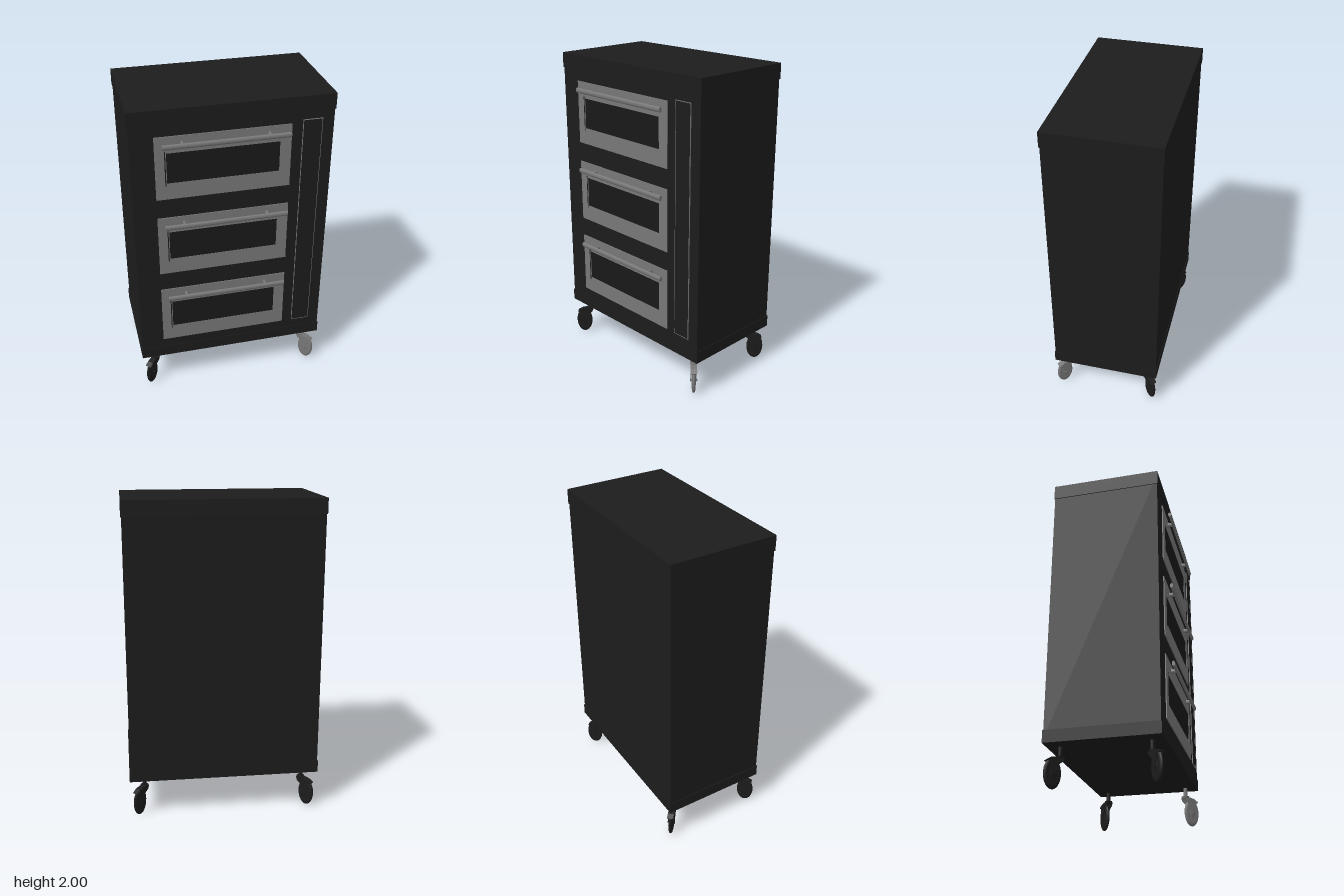
import * as THREE from 'three';

const mat = (color) => new THREE.MeshStandardMaterial({ color });
const black = mat(0x1c1c1c), glass = mat(0x191919), steel = mat(0x777777);

function add(parent, name, geometry, material, x = 0, y = 0, z = 0) {
  const mesh = new THREE.Mesh(geometry, material);
  mesh.name = name;
  mesh.position.set(x, y, z);
  parent.add(mesh);
  return mesh;
}

// Box given by its lower and upper corners
function box(parent, name, material, [x0, y0, z0], [x1, y1, z1]) {
  return add(parent, name, new THREE.BoxGeometry(x1 - x0, y1 - y0, z1 - z0), material,
    (x0 + x1) / 2, (y0 + y1) / 2, (z0 + z1) / 2);
}

function rect(Type, x0, y0, x1, y1) {
  return new Type().moveTo(x0, y0).lineTo(x1, y0).lineTo(x1, y1).lineTo(x0, y1).closePath();
}

// Flat rectangular plate with a rectangular opening
function frameGeometry(outer, inner, depth) {
  const shape = rect(THREE.Shape, ...outer);
  shape.holes.push(rect(THREE.Path, ...inner));
  return new THREE.ExtrudeGeometry(shape, { depth, bevelEnabled: false });
}

// Oven door, built around its own bottom edge
function createDoor(y) {
  const door = new THREE.Group();
  door.name = 'ovenDoor';
  door.position.y = y;
  add(door, 'doorFrame', frameGeometry([-0.46, 0, 0.345, 0.4], [-0.393, 0.105, 0.277, 0.297], 0.006),
    steel, 0, 0, 0.312);
  box(door, 'windowGlass', glass, [-0.393, 0.105, 0.31], [0.277, 0.297, 0.3165]);
  box(door, 'windowEdge', black, [-0.404, 0.088, 0.314], [-0.398, 0.308, 0.3195]);

  // Horizontal bar on two standoffs
  const bar = add(door, 'handleBar', new THREE.CylinderGeometry(1, 1, 0.75, 24), steel, -0.045, 0.352, 0.355);
  bar.rotation.z = Math.PI / 2;
  bar.scale.set(0.016, 1, 0.01);
  for (const x of [-0.3, 0.21]) {
    const post = add(door, 'handlePost', new THREE.CylinderGeometry(0.01, 0.01, 0.04, 16), steel, x, 0.354, 0.335);
    post.rotation.x = Math.PI / 2;
    post.scale.z = 1.5;
  }
  return door;
}

// Swivel caster: stem at the origin, wheel trailing along +x
function createCaster(material) {
  const caster = new THREE.Group();
  caster.name = 'caster';
  add(caster, 'stem', new THREE.CylinderGeometry(0.022, 0.022, 0.065, 20), material, 0, 0.22);
  add(caster, 'swivelCap', new THREE.CylinderGeometry(0.042, 0.036, 0.014, 24), material, 0, 0.19);

  // Lens-shaped wheel with a narrow tread
  const profile = [[0, -0.024], [0.02, -0.024], [0.022, -0.017], [0.06, -0.015], [0.064, -0.02],
    [0.078, -0.016], [0.088, -0.008], [0.09, 0], [0.088, 0.008], [0.078, 0.016],
    [0.064, 0.02], [0.06, 0.015], [0.022, 0.017], [0.02, 0.024], [0, 0.024]];
  const wheel = add(caster, 'wheel', new THREE.LatheGeometry(
    profile.map(([r, h]) => new THREE.Vector2(r, h)), 36), material, 0.075, 0.095);
  wheel.rotation.x = Math.PI / 2;
  const axle = add(caster, 'axle', new THREE.CylinderGeometry(0.009, 0.009, 0.078, 12), material, 0.075, 0.095);
  axle.rotation.x = Math.PI / 2;

  // Fork cheeks either side of the wheel
  const cheek = new THREE.Shape([[-0.036, 0.188], [0.036, 0.188], [0.1, 0.18], [0.14, 0.165], [0.11, 0.155],
    [0.09, 0.095], [0.075, 0.082], [0.06, 0.095], [0.02, 0.15], [-0.02, 0.165]]
    .map(([x, y]) => new THREE.Vector2(x, y)));
  const cheekGeometry = new THREE.ExtrudeGeometry(cheek, { depth: 0.006, bevelEnabled: false });
  for (const z of [-0.034, 0.028]) add(caster, 'forkCheek', cheekGeometry, material, 0, 0, z);

  // Hood over the wheel
  const hood = new THREE.Shape([[-0.036, 0.19], [0.04, 0.192], [0.1, 0.184], [0.148, 0.166],
    [0.14, 0.16], [0.1, 0.176], [0.04, 0.184], [-0.036, 0.182]].map(([x, y]) => new THREE.Vector2(x, y)));
  add(caster, 'forkHood', new THREE.ExtrudeGeometry(hood, { depth: 0.06, bevelEnabled: false }),
    material, 0, 0, -0.03);
  return caster;
}

export function createModel() {
  const model = new THREE.Group();
  model.name = 'deckOven';

  // Cabinet with slightly wider top and bottom bands
  box(model, 'cabinet', black, [-0.6, 0.27, -0.361], [0.6, 1.97, 0.312]);
  box(model, 'topBand', black, [-0.605, 1.905, -0.365], [0.605, 2, 0.316]);
  box(model, 'bottomBand', black, [-0.605, 0.25, -0.365], [0.605, 0.325, 0.316]);

  // Three stacked doors
  for (const y of [0.388, 0.912, 1.438]) model.add(createDoor(y));

  // Tall control panel with a thin outline
  add(model, 'controlPanelTrim', frameGeometry([0.411, 0.387, 0.529, 1.855], [0.414, 0.39, 0.526, 1.852], 0.006),
    steel, 0, 0, 0.312);
  box(model, 'controlPanel', black, [0.414, 0.39, 0.31], [0.526, 1.852, 0.317]);

  // Casters turned out towards the corners
  for (const sx of [-1, 1]) for (const sz of [-1, 1]) {
    const caster = createCaster(sx > 0 && sz > 0 ? steel : black);
    caster.position.set(sx * 0.512, 0, -0.021 + sz * 0.265);
    caster.rotation.y = Math.atan2(-sz, sx);
    caster.scale.set(0.6, 1, 0.6);
    model.add(caster);
  }
  // Rest the wheels on the ground
  for (const c of model.children) if (c.name === 'caster') c.position.y = -0.005;
  return model;
}
